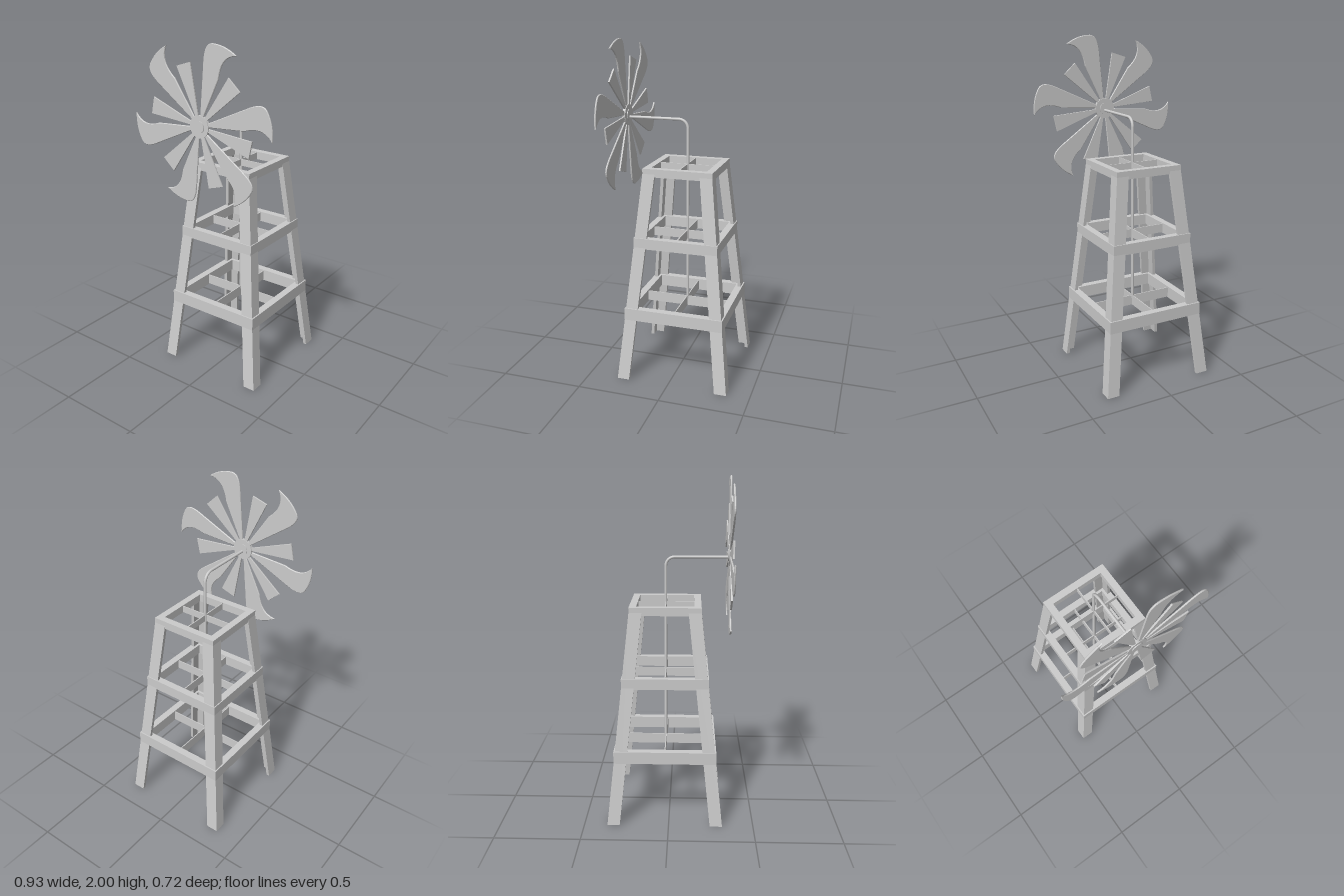
import * as THREE from 'three';

const CZ = -0.023; // tower centre line
const LEVELS = [ // bottom, top, outer half width, inner half width
  [0.38, 0.453, 0.3, 0.256],
  [0.822, 0.885, 0.252, 0.21],
  [1.245, 1.292, 0.206, 0.165],
];

export function createModel() {
  const root = new THREE.Group();
  const mat = new THREE.MeshStandardMaterial({ color: 0xcccccc });
  const flat = new THREE.MeshStandardMaterial({ color: 0xcccccc, flatShading: true });
  const add = (parent, name, geometry, material = flat) => {
    const mesh = new THREE.Mesh(geometry, material);
    mesh.name = name;
    parent.add(mesh);
    return mesh;
  };
  const shapeOf = (pts) => new THREE.Shape(pts.map(([x, y]) => new THREE.Vector2(x, y)));

  const tower = new THREE.Group();
  tower.name = 'tower';
  tower.position.z = CZ;
  root.add(tower);

  // Angle-section legs leaning in towards the top
  const w = 0.073, t = 0.02;
  const legGeo = new THREE.ExtrudeGeometry(
    shapeOf([[0, 0], [0, w], [-t, w], [-t, t], [-w, t], [-w, 0]]),
    { depth: 1.285, bevelEnabled: false });
  legGeo.rotateX(-Math.PI / 2);
  const p = legGeo.attributes.position;
  for (let i = 0; i < p.count; i++) {
    const shift = 0.34 - 0.1062 * p.getY(i);
    p.setX(i, p.getX(i) + shift);
    p.setZ(i, p.getZ(i) + shift);
  }
  legGeo.computeVertexNormals();
  for (let i = 0; i < 4; i++) add(tower, 'leg', legGeo).rotation.y = i * Math.PI / 2;

  // Square frames with thin cross plates
  for (const [y0, y1, outer, inner] of LEVELS) {
    const sq = (r) => [[-r, -r], [r, -r], [r, r], [-r, r]];
    const shape = shapeOf(sq(outer));
    shape.holes.push(shapeOf(sq(inner)));
    const h = y1 - y0;
    const frame = new THREE.ExtrudeGeometry(shape, { depth: h, bevelEnabled: false });
    frame.rotateX(-Math.PI / 2).translate(0, y0, 0);
    add(tower, 'frame', frame);
    for (const turn of [0, Math.PI / 2]) {
      const plate = add(tower, 'crossPlate', new THREE.BoxGeometry(inner * 2, h * 0.85, 0.006));
      plate.position.y = (y0 + y1) / 2;
      plate.rotation.y = turn;
    }
  }

  // Bent pole carrying the wheel
  const path = new THREE.CurvePath();
  const v = (y, z) => new THREE.Vector3(0, y, z);
  const zp = -0.026, ya = 1.55, r = 0.05;
  path.add(new THREE.LineCurve3(v(0.43, zp), v(ya - r, zp)));
  path.add(new THREE.QuadraticBezierCurve3(v(ya - r, zp), v(ya - 0.006, zp + 0.006), v(ya, zp + r)));
  path.add(new THREE.LineCurve3(v(ya, zp + r), v(ya, 0.345)));
  add(root, 'pole', new THREE.TubeGeometry(path, 150, 0.0085, 12), mat);

  // Wheel
  const wheel = new THREE.Group();
  wheel.name = 'wheel';
  wheel.position.set(0, ya + 0.012, 0.347);
  root.add(wheel);
  const extrude = (shape, bevel) => new THREE.ExtrudeGeometry(shape, {
    depth: 0.004, bevelEnabled: true, bevelThickness: 0.003, bevelSize: bevel,
    bevelOffset: -bevel, bevelSegments: 1, curveSegments: 8,
  }).translate(0, 0, -0.002);

  // Hooked large blade
  const big = new THREE.Shape();
  big.moveTo(0.002, 0.03);
  big.lineTo(0.03, 0.32);
  big.bezierCurveTo(0.035, 0.4, 0.05, 0.44, 0.09, 0.443);
  big.quadraticCurveTo(0.17, 0.443, 0.243, 0.393);
  big.bezierCurveTo(0.17, 0.385, 0.14, 0.34, 0.127, 0.262);
  big.lineTo(0.014, 0.03);
  const bigGeo = extrude(big, 0.003);

  // Plain small blade
  const smallGeo = extrude(shapeOf([[-0.007, 0.04], [0.007, 0.04], [0.049, 0.338], [-0.049, 0.338]]), 0.001);
  for (let i = 0; i < 6; i++) {
    add(wheel, 'largeBlade', bigGeo).rotation.z = i * Math.PI / 3;
    add(wheel, 'smallBlade', smallGeo).rotation.z = THREE.MathUtils.degToRad(17.5 + i * 60);
  }

  // Stepped hub
  for (const [radius, depth] of [[0.062, 0.018], [0.034, 0.027]]) {
    add(wheel, 'hub', new THREE.CylinderGeometry(radius, radius, depth, 32).rotateX(Math.PI / 2), mat);
  }
  return root;
}
